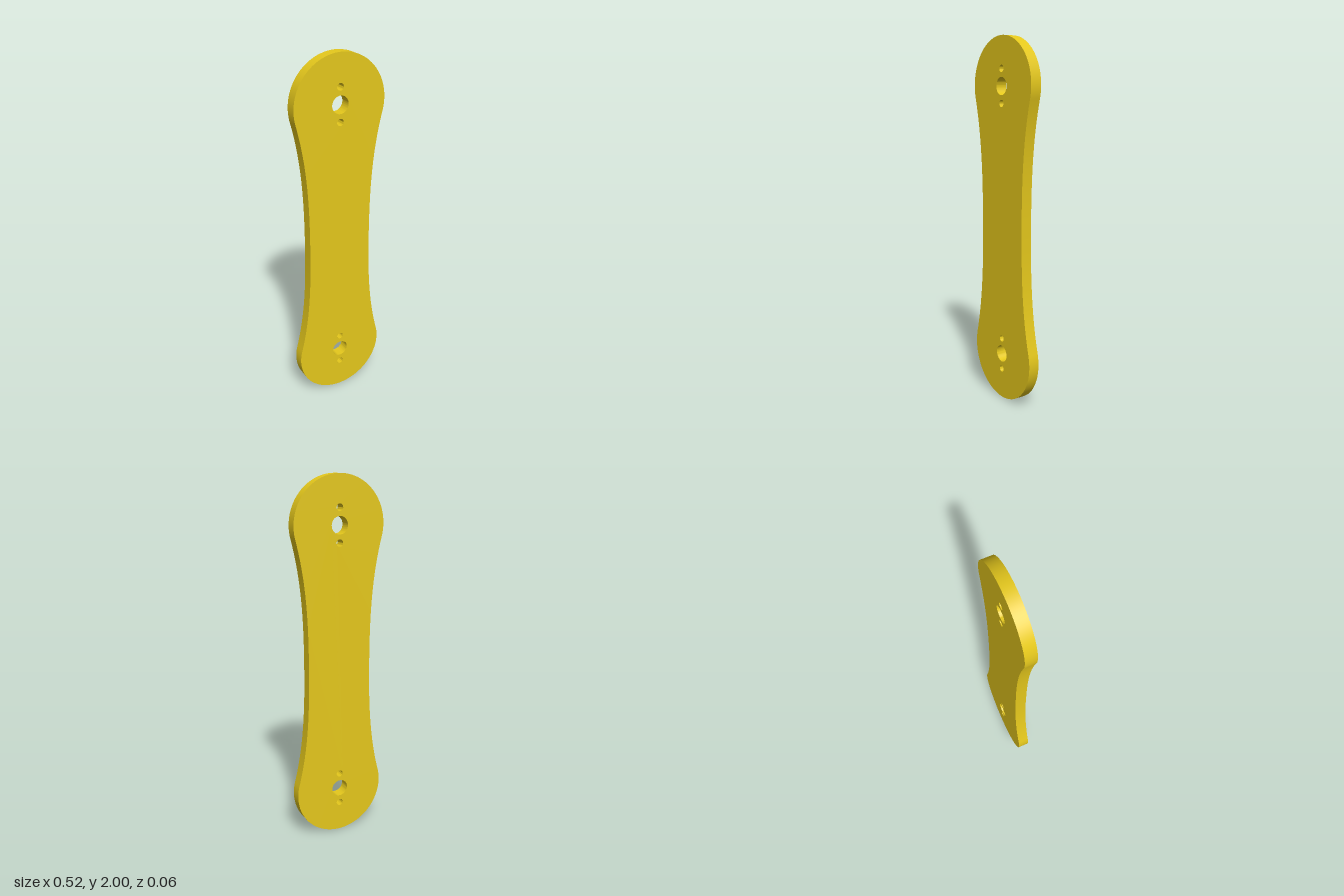
import * as THREE from 'three';
import { toCreasedNormals } from 'three/addons/utils/BufferGeometryUtils.js';

const THICKNESS = 0.062;
const END_Y = 0.741;      // distance of each end lobe from the middle
const END_R = 0.259;      // lobe radius
const JOIN = 0.28;        // angle below the lobe centre where the waist begins
const WAIST = 0.184;      // half width at the middle

export function createModel() {
  const model = new THREE.Group();
  model.name = 'linkPlate';

  // Outline: two round lobes joined by gently curved waist sides
  const jx = END_R * Math.cos(JOIN);
  const jy = END_Y - END_R * Math.sin(JOIN);
  const flare = WAIST + (jx - WAIST) * 0.1;
  const outline = new THREE.Shape();
  outline.moveTo(jx, jy);
  outline.absarc(0, END_Y, END_R, -JOIN, Math.PI + JOIN, false);
  outline.bezierCurveTo(-flare, jy * 2 / 3, -WAIST, jy / 3, -WAIST, 0);
  outline.bezierCurveTo(-WAIST, -jy / 3, -flare, -jy * 2 / 3, -jx, -jy);
  outline.absarc(0, -END_Y, END_R, Math.PI - JOIN, 2 * Math.PI + JOIN, false);
  outline.bezierCurveTo(flare, -jy * 2 / 3, WAIST, -jy / 3, WAIST, 0);
  outline.bezierCurveTo(WAIST, jy / 3, flare, jy * 2 / 3, jx, jy);

  // A pivot hole with two small screw holes in each lobe
  for (const end of [-END_Y, END_Y]) {
    for (const [offset, radius] of [[0, 0.047], [-0.09, 0.019], [0.09, 0.019]]) {
      const hole = new THREE.Path();
      hole.absarc(0, end + offset, radius, 0, Math.PI * 2, true);
      outline.holes.push(hole);
    }
  }

  const extruded = new THREE.ExtrudeGeometry(outline, {
    depth: THICKNESS, bevelEnabled: false, curveSegments: 32,
  });
  extruded.translate(0, 1, -THICKNESS / 2);

  const plate = new THREE.Mesh(
    toCreasedNormals(extruded, 0.6),
    new THREE.MeshStandardMaterial({ color: 0xe5c81c }),
  );
  plate.name = 'plate';
  model.add(plate);
  return model;
}
